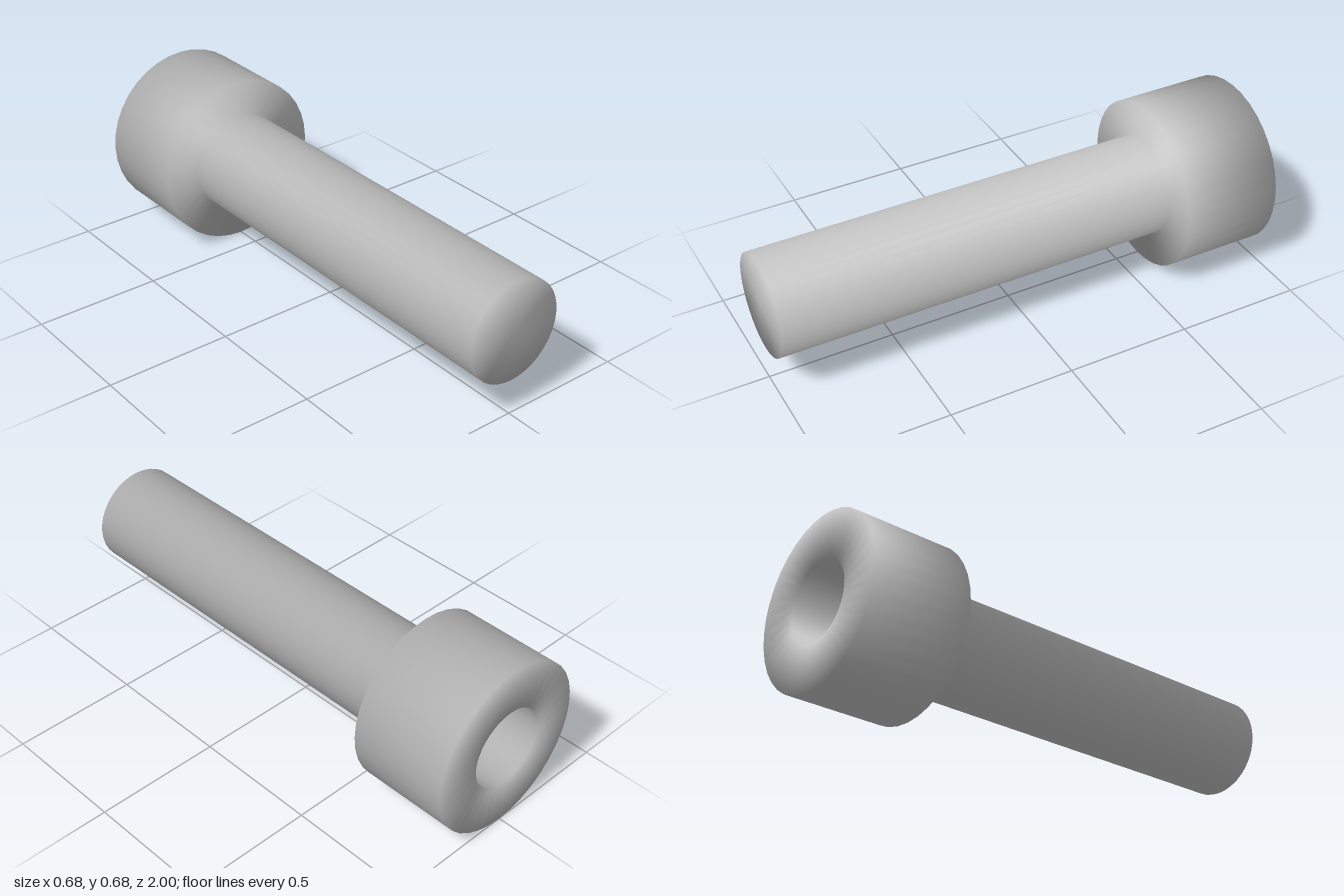
import * as THREE from 'three';

const SIDES = 36;

// Full bolt outline as [radius, z], from the socket floor round to the tip
const OUTLINE = [
  [0, -0.8], [0.16, -0.8], [0.16, -1], [0.34, -1], [0.34, -0.6],
  [0.2, -0.6], [0.2, 1], [0, 1],
].map(([r, z]) => new THREE.Vector2(r, z));

// Normals blended evenly across each edge, so the shading rolls over the corners
const NORMALS = OUTLINE.map((p, i) => {
  const n = new THREE.Vector2();
  for (const [a, b] of [[OUTLINE[i - 1], p], [p, OUTLINE[i + 1]]]) {
    if (a && b) n.add(new THREE.Vector2(b.y - a.y, a.x - b.x).normalize());
  }
  return n.normalize();
});

// Revolve part of the outline, and lay its axis along z
function turned(name, from, to, material) {
  const points = OUTLINE.slice(from, to + 1);
  const geometry = new THREE.LatheGeometry(points, SIDES);
  const normal = geometry.attributes.normal;
  for (let i = 0; i < normal.count; i++) {
    const n = NORMALS[from + (i % points.length)];
    const angle = (Math.floor(i / points.length) / SIDES) * Math.PI * 2;
    normal.setXYZ(i, n.x * Math.sin(angle), n.y, n.x * Math.cos(angle));
  }
  geometry.rotateX(Math.PI / 2);
  const mesh = new THREE.Mesh(geometry, material);
  mesh.name = name;
  mesh.position.y = 0.34;
  return mesh;
}

export function createModel() {
  const steel = new THREE.MeshStandardMaterial({ color: 0xbfbfbf });
  steel.name = 'steel grey';

  const bolt = new THREE.Group();
  bolt.name = 'socketHeadBolt';
  bolt.add(
    turned('socket', 0, 2, steel),
    turned('head', 2, 5, steel),
    turned('shank', 5, 7, steel),
  );
  return bolt;
}
